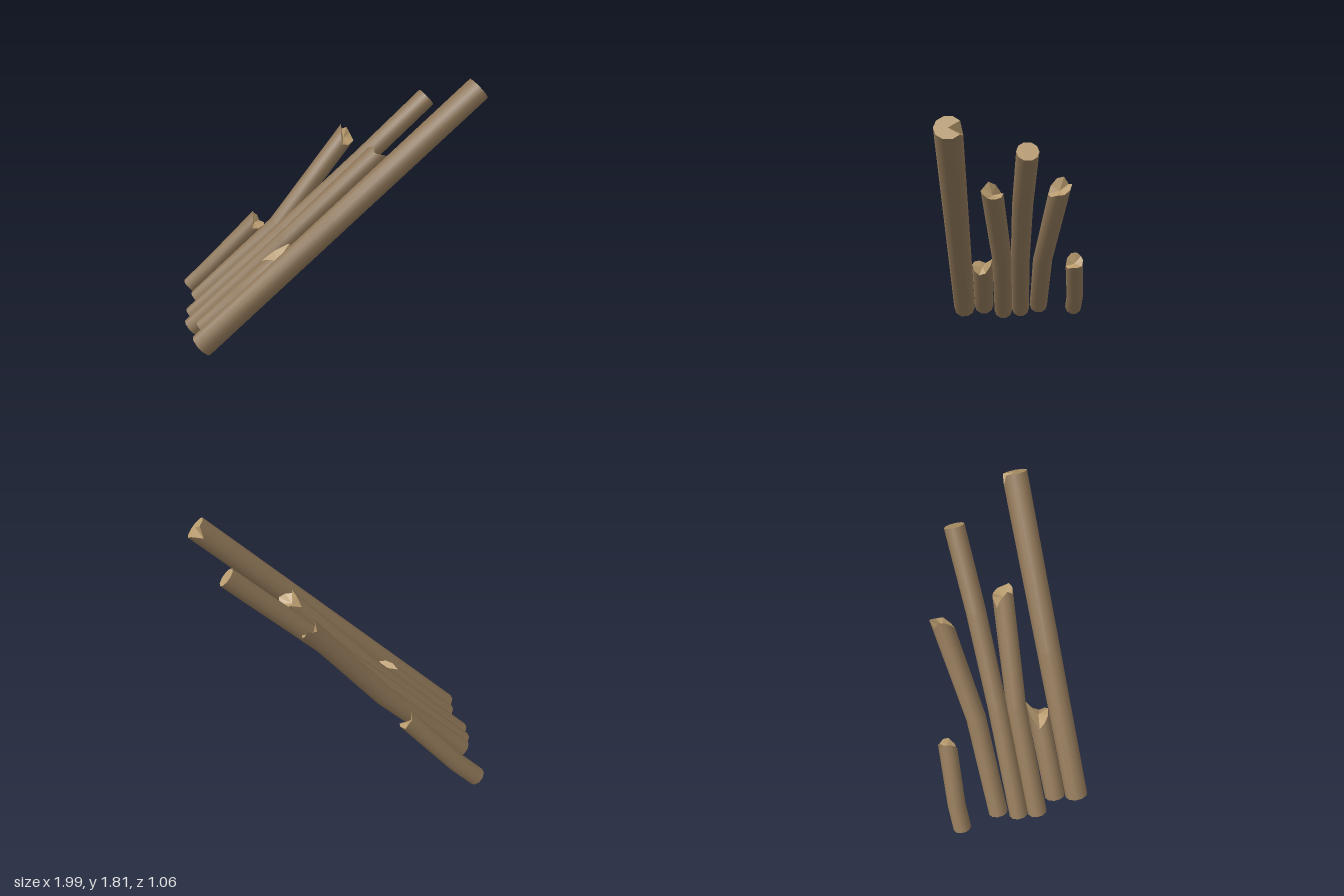
import * as THREE from 'three';

const SIDES = 10;

// Each log: radius, centre-line points from base to tip, and how far each rim
// point at the tip is pushed along the log (starting at +z, going over the top).
const LOGS = [
  { name: 'longFrontLog', r: 0.085,
    path: [[-0.913, 0.093, 0.44], [0, 0.91, 0.44], [0.94, 1.75, 0.44]],
    tip: [0, 0, 0, 0, 0, -0.07, 0, 0, 0, 0] },
  { name: 'shortBrokenLog', r: 0.077,
    path: [[-0.88, 0.12, 0.277], [-0.6, 0.37, 0.277], [-0.36, 0.587, 0.277]],
    tip: [0.03, 0, -0.04, -0.08, 0.02, 0.13, 0.1, 0.03, 0, 0.02] },
  { name: 'bentBrokenLog', r: 0.073,
    path: [[-0.953, 0.052, 0.118], [-0.27, 0.67, 0.13], [0.32, 1.25, 0.193]],
    tip: [0.06, 0.03, 0.06, 0.02, -0.05, 0.02, 0.03, 0.05, 0.06, 0.08] },
  { name: 'longMiddleLog', r: 0.07,
    path: [[-0.935, 0.07, -0.025], [-0.25, 0.69, -0.005], [0.3, 1.18, -0.005], [0.755, 1.59, -0.022]],
    tip: [0, 0, 0, 0, 0, 0, 0, 0, 0, 0] },
  { name: 'steepBrokenLog', r: 0.072,
    path: [[-0.885, 0.12, -0.172], [-0.28, 0.66, -0.172], [0.22, 1.26, -0.255]],
    tip: [-0.04, 0, 0.05, 0.07, 0.03, 0.08, 0.06, 0.04, 0.03, -0.02] },
  { name: 'shortBackLog', r: 0.067,
    path: [[-0.922, 0.086, -0.465], [-0.76, 0.235, -0.462], [-0.42, 0.59, -0.422]],
    tip: [-0.03, 0.02, 0.05, 0.06, 0.04, 0.04, 0.02, 0.04, 0.04, 0] },
];

// Rings of points square to the centre line; the last ring is jagged by tip
function makeRings({ r, path, tip }) {
  const pts = path.map((p) => new THREE.Vector3(...p));
  const last = pts.length - 1;
  return pts.map((p, i) => {
    const dir = pts[Math.min(i + 1, last)].clone().sub(pts[Math.max(i - 1, 0)]).normalize();
    const side = new THREE.Vector3(0, 0, 1).addScaledVector(dir, -dir.z).normalize();
    const up = dir.clone().cross(side).negate();
    return Array.from({ length: SIDES }, (_, j) => {
      const a = (j / SIDES) * Math.PI * 2;
      return p.clone()
        .addScaledVector(side, Math.cos(a) * r)
        .addScaledVector(up, Math.sin(a) * r)
        .addScaledVector(dir, i === last ? tip[j] : 0);
    });
  });
}

// Smooth open tube through the rings
function barkGeometry(rings) {
  const index = [];
  for (let i = 0; i < rings.length - 1; i++) {
    for (let j = 0; j < SIDES; j++) {
      const a = i * SIDES + j;
      const b = i * SIDES + ((j + 1) % SIDES);
      index.push(a, a + SIDES, b, b, a + SIDES, b + SIDES);
    }
  }
  const geo = new THREE.BufferGeometry().setFromPoints(rings.flat());
  geo.setIndex(index);
  geo.computeVertexNormals();
  return geo;
}

// Faceted fan closing one ring
function endGeometry(ring, centre, atTip) {
  const tris = [];
  ring.forEach((p, j) => {
    const q = ring[(j + 1) % SIDES];
    tris.push(centre, ...(atTip ? [q, p] : [p, q]));
  });
  const geo = new THREE.BufferGeometry().setFromPoints(tris);
  geo.computeVertexNormals();
  return geo;
}

export function createModel() {
  const bark = new THREE.MeshStandardMaterial({ color: 0x8b7355 });
  bark.name = 'bark';
  const wood = new THREE.MeshStandardMaterial({ color: 0xb89b6e });
  wood.name = 'cutWood';

  const model = new THREE.Group();
  model.name = 'leaningLogs';
  for (const log of LOGS) {
    const rings = makeRings(log);
    const base = new THREE.Vector3(...log.path[0]);
    const tip = new THREE.Vector3(...log.path.at(-1));
    const group = new THREE.Group();
    group.name = log.name;
    const add = (name, geo, mat) => {
      const mesh = new THREE.Mesh(geo, mat);
      mesh.name = name;
      group.add(mesh);
    };
    add('barkSurface', barkGeometry(rings), bark);
    add('baseEnd', endGeometry(rings[0], base, false), wood);
    add('tipEnd', endGeometry(rings.at(-1), tip, true), wood);
    model.add(group);
  }
  return model;
}
